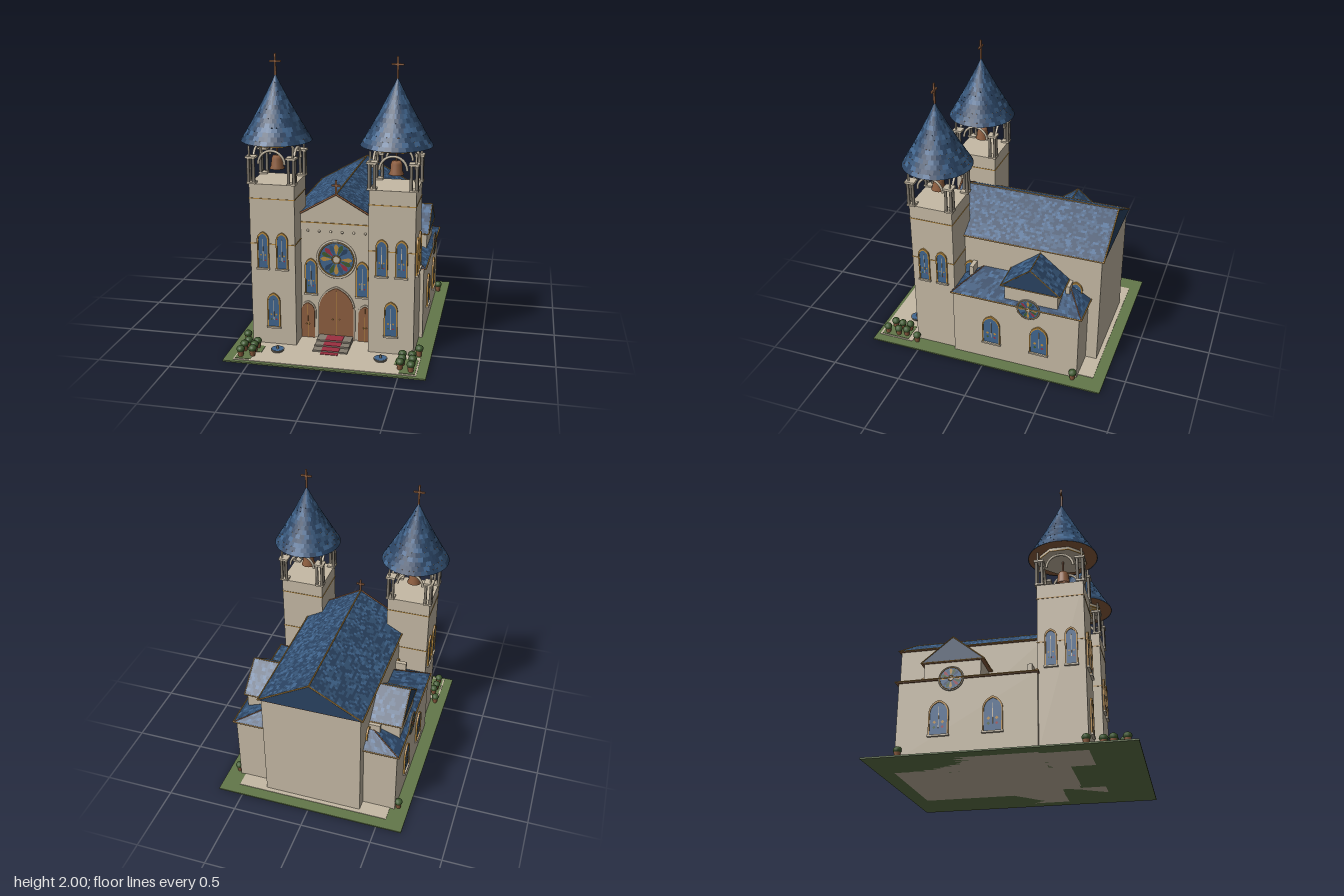
import * as THREE from 'three';

const mat = (name, color, side = THREE.FrontSide) => {
  const m = new THREE.MeshStandardMaterial({ color, side });
  m.name = name;
  return m;
};
const M = {
  stone: mat('stone', 0xc6baa5),
  gold: mat('gold trim', 0xb98c42),
  wood: mat('wood', 0x8f5f40, THREE.DoubleSide),
  lawn: mat('lawn', 0x63774a),
  leaf: mat('leaf', 0x3f5a30),
  red: mat('red', 0x9c2f40),
  grey: mat('grey stone', 0x857d70),
  dark: mat('dark slate', 0x2a4362, THREE.DoubleSide),
  mid: mat('mid slate', 0x365578, THREE.DoubleSide),
  glass: mat('light blue', 0x41668f, THREE.DoubleSide),
};
const V = (x, y, z) => new THREE.Vector3(x, y, z);

let seed = 7;
const rnd = () => (seed = (seed * 16807) % 2147483647) / 2147483647;

function add(parent, name, geo, material, x = 0, y = 0, z = 0) {
  const m = new THREE.Mesh(geo, material);
  m.name = name;
  m.position.set(x, y, z);
  parent.add(m);
  return m;
}
function group(parent, name, x = 0, y = 0, z = 0, ry = 0) {
  const g = new THREE.Group();
  g.name = name;
  g.position.set(x, y, z);
  g.rotation.y = ry;
  parent.add(g);
  return g;
}
// box given by its limits
const box = (p, name, m, x0, x1, y0, y1, z0, z1) =>
  add(p, name, new THREE.BoxGeometry(x1 - x0, y1 - y0, z1 - z0), m, (x0 + x1) / 2, (y0 + y1) / 2, (z0 + z1) / 2);
const cyl = (p, name, m, rt, rb, h, x, y, z, n = 16) =>
  add(p, name, new THREE.CylinderGeometry(rt, rb, h, n), m, x, y, z);
// slim bar between two points
function bar(p, name, m, a, b, r = 0.005) {
  const o = cyl(p, name, m, r, r, a.distanceTo(b), 0, 0, 0, 6);
  o.position.copy(a).add(b).multiplyScalar(0.5);
  o.quaternion.setFromUnitVectors(V(0, 1, 0), b.clone().sub(a).normalize());
}

// surface f(u, v) cut into staggered slates of three shades
function slates(parent, name, f, nu, nv) {
  const cells = [[], [], []];
  for (let j = 0; j < nv; j++) {
    const shift = (j % 2) * 0.5;
    for (let i = 0; i <= nu; i++) {
      const u0 = Math.max(0, (i - shift) / nu), u1 = Math.min(1, (i + 1 - shift) / nu);
      if (u1 - u0 < 1e-6) continue;
      const [a, b, c, d] = [f(u0, j / nv), f(u1, j / nv), f(u1, (j + 1) / nv), f(u0, (j + 1) / nv)];
      const k = rnd();
      cells[k < 0.5 ? 0 : k < 0.82 ? 1 : 2].push(a, b, c, a, c, d);
    }
  }
  const g = new THREE.BufferGeometry().setFromPoints(cells.flat());
  let start = 0;
  cells.forEach((c, i) => { g.addGroup(start, c.length, i); start += c.length; });
  g.computeVertexNormals();
  add(parent, name, g, [M.dark, M.mid, M.glass]);
}
// four-cornered slate slope: lower edge a-b, upper edge d-c
const slope = (p, name, a, b, c, d, nu, nv) =>
  slates(p, name, (u, v) => a.clone().lerp(b, u).lerp(d.clone().lerp(c, u), v), nu, nv);

function arch(w, h) {
  const s = new THREE.Shape(), r = w / 2;
  s.moveTo(-r, 0).lineTo(r, 0).lineTo(r, h - r * 1.3);
  s.quadraticCurveTo(r * 0.95, h - r * 0.35, 0, h).quadraticCurveTo(-r * 0.95, h - r * 0.35, -r, h - r * 1.3);
  return s;
}
const plate = (shape, depth) => new THREE.ExtrudeGeometry(shape, { depth, bevelEnabled: false, curveSegments: 10 });

// pointed window facing local +z
function windowAt(parent, x, y, z, ry, w, h) {
  const g = group(parent, 'window', x, y, z, ry);
  const rim = arch(w + 0.012, h + 0.006);
  rim.holes.push(new THREE.Path(arch(w - 0.006, h - 0.008).getPoints(10)));
  add(g, 'windowFrame', plate(rim, 0.012), M.gold);
  add(g, 'windowGlass', plate(arch(w, h), 0.006), M.glass);
  box(g, 'windowSill', M.stone, -w / 2 - 0.01, w / 2 + 0.01, -0.012, 0, 0, 0.018);
  box(g, 'windowMullion', M.stone, -0.002, 0.002, h * 0.2, h * 0.82, 0.006, 0.009);
  for (const s of [-1, 1]) {
    add(g, 'goldPane', new THREE.CircleGeometry(w * 0.1, 4), M.gold, s * w * 0.22, h * 0.37, 0.008);
    add(g, 'colourPane', new THREE.CircleGeometry(w * 0.09, 4), s > 0 ? M.red : M.leaf, s * w * 0.22, h * 0.22, 0.008);
  }
}

// round window facing local +z
function roseAt(parent, x, y, z, ry, r) {
  const g = group(parent, 'roseWindow', x, y, z, ry);
  const disc = cyl(g, 'roseGlass', M.glass, r * 0.9, r * 0.9, 0.008, 0, 0, 0.004, 40);
  disc.rotation.x = Math.PI / 2;
  add(g, 'roseOuterRing', new THREE.TorusGeometry(r * 0.95, r * 0.055, 8, 40), M.stone, 0, 0, 0.004);
  add(g, 'roseInnerRing', new THREE.TorusGeometry(r * 0.87, r * 0.03, 6, 40), M.gold, 0, 0, 0.009);
  const shades = [M.gold, M.mid, M.red, M.leaf, M.gold, M.glass, M.dark, M.leaf];
  for (let i = 0; i < 16; i++) {
    const petal = new THREE.Shape();
    petal.moveTo(0, r * 0.2).lineTo(r * 0.12, r * 0.62).quadraticCurveTo(0, r * 0.95, -r * 0.12, r * 0.62);
    add(g, 'rosePetal', new THREE.ShapeGeometry(petal, 5), shades[i % 8], 0, 0, 0.0095).rotation.z = i * Math.PI / 8;
  }
  add(g, 'roseHub', new THREE.CircleGeometry(r * 0.2, 20), M.stone, 0, 0, 0.011);
  add(g, 'roseHubRing', new THREE.TorusGeometry(r * 0.2, r * 0.03, 6, 20), M.gold, 0, 0, 0.011);
}

function crossAt(parent, x, y, z, h, w) {
  const g = group(parent, 'cross', x, y, z), t = 0.006;
  box(g, 'crossUpright', M.wood, -t, t, 0, h, -t, t);
  box(g, 'crossArm', M.wood, -w, w, h * 0.64 - t, h * 0.64 + t, -t, t);
}

function door(parent, x, w, h, z) {
  const g = group(parent, 'door', x, 0.012, z);
  add(g, 'doorFrame', plate(arch(w + 0.02, h + 0.012), 0.008), M.stone);
  add(g, 'doorLeaf', plate(arch(w, h), 0.014), M.wood);
  box(g, 'doorSeam', M.gold, -0.0015, 0.0015, 0, h * 0.95, 0.014, 0.016);
  for (const s of [-1, 1]) add(g, 'doorKnob', new THREE.SphereGeometry(0.005, 8, 6), M.gold, s * w * 0.1, h * 0.4, 0.016);
}

function tower(root, s) {
  const g = group(root, 'tower', s * 0.405, 0, 0.395), R = 0.155;
  box(g, 'towerShaft', M.stone, -R, R, 0, 1.155, -R, R);
  for (const y of [0.74, 1.055]) box(g, 'towerBand', M.gold, -R - 0.003, R + 0.003, y - 0.003, y + 0.003, -R - 0.003, R + 0.003);
  windowAt(g, 0, 0.145, R, 0, 0.08, 0.24);
  for (const o of [-0.066, 0.066]) {
    windowAt(g, o, 0.57, R, 0, 0.07, 0.25);
    windowAt(g, s * R, 0.57, o, s * Math.PI / 2, 0.07, 0.25);
  }
  // belfry: a cluster of columns on each corner, an arch on each side
  for (const a of [-1, 1]) for (const b of [-1, 1]) {
    const c = group(g, 'columnCluster', a * 0.137, 1.155, b * 0.137);
    box(c, 'columnBase', M.stone, -0.03, 0.03, 0, 0.012, -0.03, 0.03);
    for (const [i, j] of [[1, 1], [-1, 1], [1, -1]])
      cyl(c, 'columnShaft', M.grey, 0.0095, 0.011, 0.165, i * a * 0.018, 0.092, j * b * 0.018, 10);
    box(c, 'columnCapital', M.stone, -0.034, 0.034, 0.172, 0.187, -0.034, 0.034);
    cyl(c, 'columnPost', M.stone, 0.007, 0.007, 0.07, a * 0.012, 0.22, b * 0.012, 8);
  }
  for (let i = 0; i < 4; i++) {
    const side = group(g, 'belfryArch', 0, 1.29, 0, i * Math.PI / 2);
    add(side, 'archRing', new THREE.TorusGeometry(0.09, 0.009, 8, 20, Math.PI), M.stone, 0, 0, 0.14);
  }
  // bell
  const bell = [[0, 0.09], [0.03, 0.088], [0.038, 0.07], [0.042, 0.02], [0.052, 0], [0.045, 0]].map(p => new THREE.Vector2(...p).multiplyScalar(1)).reverse();
  add(g, 'bell', new THREE.LatheGeometry(bell, 20), M.wood, 0, 1.23, 0);
  cyl(g, 'bellRope', M.wood, 0.006, 0.006, 0.09, 0, 1.36, 0, 8);
  // roof
  cyl(g, 'roofBeam', M.stone, 0.165, 0.165, 0.03, 0, 1.42, 0, 8).rotation.y = Math.PI / 8;
  cyl(g, 'roofBeamTrim', M.gold, 0.169, 0.169, 0.006, 0, 1.408, 0, 8).rotation.y = Math.PI / 8;
  add(g, 'roofSoffit', new THREE.RingGeometry(0.1, 0.236, 32), M.wood, 0, 1.43, 0).rotation.x = Math.PI / 2;
  slates(g, 'spireSlates', (u, v) => {
    const t = 1 - v, r = 0.24 * (0.88 * t + 0.12 * t * t), a = u * Math.PI * 2;
    return V(r * Math.sin(a), 1.428 + 0.442 * v, r * Math.cos(a));
  }, 32, 16);
  crossAt(g, 0, 1.86, 0, 0.14, 0.04);
}

function aisle(root, s) {
  const g = group(root, 'aisle');
  const P = (x, y, z) => V(s * x, y, z);
  const sbox = (name, m, x0, x1, ...r) => box(g, name, m, Math.min(s * x0, s * x1), Math.max(s * x0, s * x1), ...r);
  sbox('aisleWall', M.stone, 0.3, 0.585, 0, 0.53, -0.67, 0.245);
  for (const z of [-0.04, -0.39]) windowAt(g, s * 0.585, 0.155, z, s * Math.PI / 2, 0.12, 0.225);
  // hipped lean-to roof
  const a = P(0.602, 0.53, 0.255), b = P(0.602, 0.53, -0.69), c = P(0.35, 0.625, -0.53), d = P(0.35, 0.625, 0.1);
  const e = P(0.35, 0.53, -0.69), f = P(0.35, 0.53, 0.255);
  slope(g, 'aisleRoof', a, b, c, d, 40, 10);
  slope(g, 'aisleHipBack', b, e, c, c, 10, 8);
  slope(g, 'aisleHipFront', f, a, d, d, 10, 8);
  sbox('aisleSoffit', M.wood, 0.34, 0.6, 0.522, 0.53, -0.688, 0.253);
  bar(g, 'eaveTrim', M.gold, a, b);
  bar(g, 'eaveTrim', M.gold, b, e);
  bar(g, 'hipTrim', M.wood, b, c, 0.004);
  bar(g, 'hipTrim', M.wood, a, d, 0.004);
  // clerestory windows and buttress stubs
  for (const z of [0.2, -0.58]) windowAt(g, s * 0.35, 0.42, z, s * Math.PI / 2, 0.08, 0.225);
  for (const z of [0.165, -0.54]) sbox('buttress', M.stone, 0.34, 0.43, 0.54, 0.655, z - 0.015, z + 0.015);
  // cross gable
  sbox('gableWall', M.stone, 0.34, 0.56, 0.52, 0.665, -0.51, -0.13);
  const n0 = P(0.35, 0.66, -0.105), n1 = P(0.575, 0.66, -0.105), k0 = P(0.35, 0.66, -0.53), k1 = P(0.575, 0.66, -0.53);
  const r0 = P(0.35, 0.83, -0.318), r1 = P(0.575, 0.83, -0.318);
  slope(g, 'gableSlopeFront', n0, n1, r1, r0, 10, 10);
  slope(g, 'gableSlopeBack', k1, k0, r0, r1, 10, 10);
  add(g, 'gableFace', new THREE.BufferGeometry().setFromPoints(s > 0 ? [n1, k1, r1] : [k1, n1, r1]), M.dark).geometry.computeVertexNormals();
  sbox('gableSoffit', M.wood, 0.35, 0.573, 0.655, 0.66, -0.528, -0.107);
  for (const [p, q] of [[n1, r1], [k1, r1], [n0, n1], [k0, k1], [r0, r1], [n1, k1]]) bar(g, 'gableTrim', M.gold, p, q, 0.004);
  roseAt(g, s * 0.594, 0.525, -0.315, s * Math.PI / 2, 0.085);
}

export function createModel() {
  const root = new THREE.Group();
  root.name = 'church';

  // grounds
  box(root, 'lawn', M.lawn, -0.68, 0.68, 0, 0.01, -0.86, 0.86);
  box(root, 'paving', M.stone, -0.55, 0.55, 0.005, 0.014, -0.78, 0.835);
  box(root, 'forecourt', M.stone, -0.615, 0.615, 0.005, 0.0135, 0.575, 0.835);
  for (let i = 0; i < 3; i++) {
    const z = 0.62 - i * 0.06, y = 0.024 + i * 0.011;
    box(root, 'step', M.grey, -0.12, 0.12, 0.01, y, 0.38, z);
    box(root, 'carpet', M.red, -0.06, 0.06, y, y + 0.003, z - 0.06 - (i === 2 ? 0.02 : 0), z);
  }
  box(root, 'carpetEnd', M.red, -0.06, 0.06, 0.013, 0.017, 0.62, 0.655);

  // nave with gabled front
  box(root, 'naveWalls', M.stone, -0.35, 0.35, 0, 0.865, -0.75, 0.25);
  const front = new THREE.Shape();
  front.moveTo(-0.26, 0).lineTo(0.26, 0).lineTo(0.26, 0.912).lineTo(0, 1.06).lineTo(-0.26, 0.912);
  add(root, 'facade', plate(front, 0.15), M.stone, 0, 0, 0.24);
  for (const s of [-1, 1]) {
    const a = V(s * 0.368, 0.86, 0.4), b = V(s * 0.368, 0.86, -0.765), t = V(0, 1.07, -0.765), u = V(0, 1.07, 0.4);
    if (s > 0) slope(root, 'naveRoof', a, b, t, u, 58, 24);
    else slope(root, 'naveRoof', b, a, u, t, 58, 24);
    bar(root, 'eaveTrim', M.gold, V(s * 0.368, 0.86, 0.24), b);
    bar(root, 'rearRakeTrim', M.gold, b, t);
    bar(root, 'frontRakeTrim', M.wood, V(s * 0.25, 0.925, 0.4), u, 0.007);
  }
  const rear = new THREE.Shape().moveTo(-0.368, 0.86).lineTo(0.368, 0.86).lineTo(0, 1.07);
  add(root, 'rearGable', new THREE.ShapeGeometry(rear), M.dark, 0, 0, -0.765).rotation.y = Math.PI;
  box(root, 'naveSoffit', M.wood, -0.366, 0.366, 0.855, 0.861, -0.764, 0.24);
  bar(root, 'ridgeTrim', M.gold, V(0, 1.07, 0.4), V(0, 1.07, -0.765));
  crossAt(root, 0, 1.065, 0.395, 0.1, 0.03);

  // facade details
  const F = 0.39;
  box(root, 'facadeBand', M.gold, -0.25, 0.25, 0.857, 0.863, F, F + 0.006);
  for (let i = 0; i < 6; i++) add(root, 'facadeBoss', new THREE.SphereGeometry(0.009, 8, 6), M.stone, -0.2 + i * 0.08, 0.8, F);
  roseAt(root, 0, 0.605, F, 0, 0.14);
  door(root, 0, 0.245, 0.385, F + 0.004);
  for (const s of [-1, 1]) {
    door(root, s * 0.203, 0.095, 0.262, F);
    windowAt(root, s * 0.18, 0.345, F, 0, 0.075, 0.25);
    tower(root, s);
    aisle(root, s);

    // flower bed, fountain and potted shrubs
    box(root, 'flowerBed', M.lawn, s > 0 ? 0.5 : -0.605, s > 0 ? 0.605 : -0.5, 0.01, 0.017, 0.61, 0.82);
    box(root, 'flowerBedInner', M.lawn, s > 0 ? 0.455 : -0.5, s > 0 ? 0.5 : -0.455, 0.01, 0.017, 0.61, 0.705);
    cyl(root, 'fountainBasin', M.grey, 0.047, 0.04, 0.016, s * 0.355, 0.02, 0.655, 20);
    cyl(root, 'fountainWater', M.glass, 0.041, 0.041, 0.004, s * 0.355, 0.028, 0.655, 20);
    cyl(root, 'fountainSpout', M.grey, 0.006, 0.009, 0.025, s * 0.355, 0.04, 0.655, 8);
    for (const [x, z] of [[0.565, 0.64], [0.5, 0.64], [0.575, 0.7], [0.505, 0.7], [0.575, 0.785], [0.5, 0.76], [0.6, 0.54], [0.605, -0.645]]) {
      const p = group(root, 'pottedShrub', s * x, 0.012, z);
      cyl(p, 'pot', M.wood, 0.023, 0.016, 0.04, 0, 0.02, 0, 10);
      add(p, 'shrub', new THREE.IcosahedronGeometry(0.029, 1), M.leaf, 0, 0.055, 0).scale.y = 0.85;
    }
  }
  return root;
}
